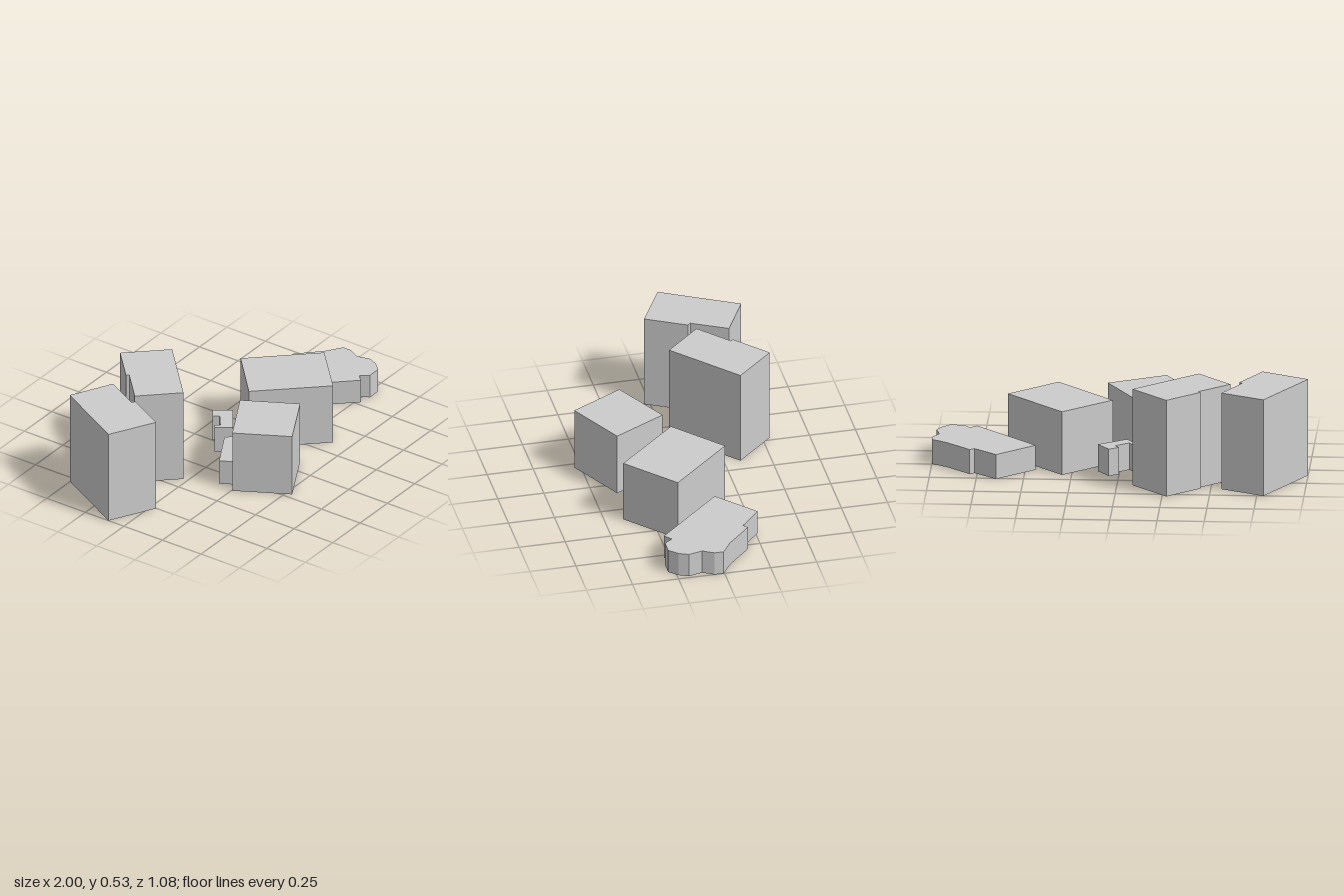
import * as THREE from 'three';

// Footprints are [x, z] outlines; each block is a roof and walls, open underneath.
const buildings = [
  { name: 'tallTowerLeft', height: 0.53, plan: [
    [-0.785, -0.503], [-0.557, -0.385], [-0.655, -0.197], [-0.64, -0.18], [-0.752, 0.032], [-1, -0.1]] },
  { name: 'tallTowerBack', height: 0.53, plan: [
    [-0.273, -0.54], [-0.083, -0.337], [-0.417, -0.027], [-0.595, -0.217], [-0.433, -0.367], [-0.445, -0.38]] },
  { name: 'frontBlock', height: 0.355, plan: [
    [-0.065, 0.09], [0.088, 0.372], [-0.215, 0.535], [-0.368, 0.255]] },
  { name: 'frontBlockAnnex', height: 0.14, plan: [
    [-0.133, 0.037], [-0.065, 0.09], [-0.31, 0.223], [-0.348, 0.155]] },
  { name: 'centreBlock', height: 0.348, plan: [
    [0.3, -0.165], [0.605, 0.162], [0.35, 0.4], [0.045, 0.07]] },
  { name: 'smallPavilion', height: 0.148, plan: [
    [-0.09, -0.058], [-0.067, -0.072], [-0.05, -0.048], [0.022, -0.103], [0, -0.135],
    [0.053, -0.17], [0.115, -0.083], [-0.033, 0.023]] },
  { name: 'lowHall', height: 0.135, plan: [
    [0.645, -0.262], [0.765, -0.155], [0.79, -0.175], [0.92, -0.048], [1, 0.005], [1, 0.055],
    [0.967, 0.115], [0.985, 0.19], [0.963, 0.242], [0.92, 0.288], [0.845, 0.288],
    [0.813, 0.242], [0.775, 0.278], [0.445, -0.075]] },
];

// Extrudes a footprint upward and drops the floor, which is the first half of the caps.
function openBlock(plan, height) {
  const shape = new THREE.Shape(plan.map(([x, z]) => new THREE.Vector2(x, -z)));
  const solid = new THREE.ExtrudeGeometry(shape, { depth: height, bevelEnabled: false });
  solid.rotateX(-Math.PI / 2);
  const skip = solid.groups[0].count / 2;
  const open = new THREE.BufferGeometry();
  for (const key of ['position', 'normal']) {
    const values = solid.getAttribute(key).array.slice(skip * 3);
    open.setAttribute(key, new THREE.BufferAttribute(values, 3));
  }
  return open;
}

export function createModel() {
  const model = new THREE.Group();
  model.name = 'buildingCluster';
  const wallGrey = new THREE.MeshStandardMaterial({ color: 0xcccccc, side: THREE.DoubleSide });
  wallGrey.name = 'pale grey';

  for (const { name, height, plan } of buildings) {
    const mesh = new THREE.Mesh(openBlock(plan, height), wallGrey);
    mesh.name = name;
    model.add(mesh);
  }
  return model;
}
